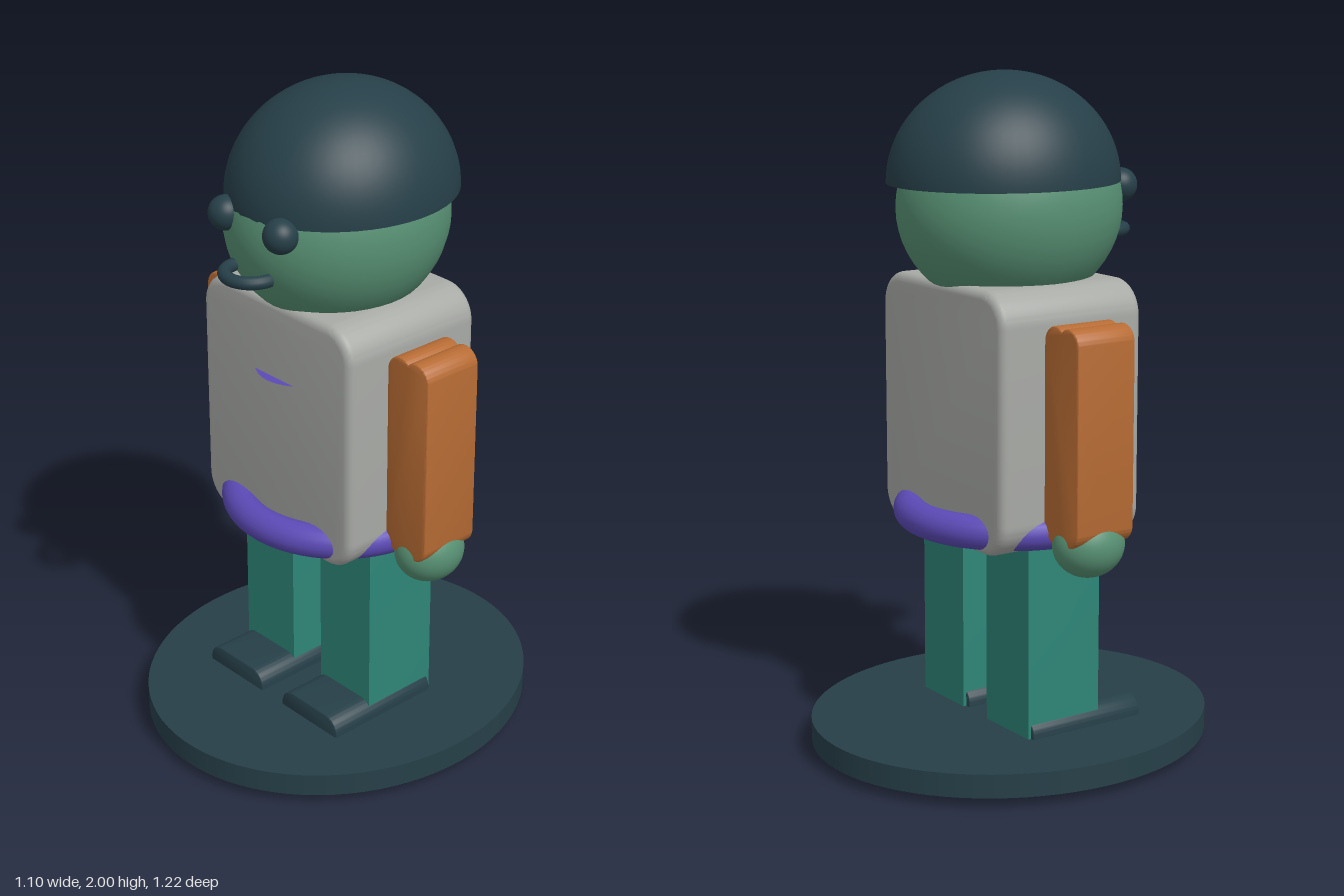
import * as THREE from 'three';
import { toCreasedNormals } from 'three/addons/utils/BufferGeometryUtils.js';

const mat = (name, color) => {
  const m = new THREE.MeshStandardMaterial({ color });
  m.name = name;
  return m;
};

// Rounded block outline; dip cuts a shallow groove along the middle of both ends
function blockShape(w, h, r, dip = 0) {
  const x = w / 2, y = h / 2, s = new THREE.Shape();
  s.moveTo(x, -y + r);
  s.lineTo(x, y - r);
  s.absarc(x - r, y - r, r, 0, Math.PI / 2, false);
  if (dip) s.quadraticCurveTo(0.012, y, 0, y - dip).quadraticCurveTo(-0.012, y, -x + r, y);
  s.absarc(-x + r, y - r, r, Math.PI / 2, Math.PI, false);
  s.lineTo(-x, -y + r);
  s.absarc(-x + r, -y + r, r, Math.PI, Math.PI * 1.5, false);
  if (dip) s.quadraticCurveTo(-0.012, -y, 0, -y + dip).quadraticCurveTo(0.012, -y, x - r, -y);
  s.absarc(x - r, -y + r, r, Math.PI * 1.5, Math.PI * 2, false);
  return s;
}

// Block of full size w, h, d, extruded front to back and centred on the origin
function block(w, h, d, r, bevel, dip) {
  const g = new THREE.ExtrudeGeometry(blockShape(w - 2 * bevel, h - 2 * bevel, r - bevel, dip), {
    depth: d - 2 * bevel, bevelEnabled: bevel > 0, bevelSize: bevel,
    bevelThickness: bevel, bevelSegments: 4, curveSegments: 10,
  });
  g.translate(0, 0, -d / 2 + bevel);
  return toCreasedNormals(g, 0.6);
}

export function createModel() {
  const model = new THREE.Group();
  const slate = mat('slate', 0x263f48);
  const green = mat('skinGreen', 0x579073);
  const grey = mat('shirtGrey', 0xa8aaa6);
  const orange = mat('sleeveOrange', 0xb86c34);
  const teal = mat('trouserTeal', 0x2e8577);
  const purple = mat('beltPurple', 0x5c4ab6);
  purple.side = THREE.DoubleSide;

  const add = (name, geometry, material, x, y, z) => {
    const mesh = new THREE.Mesh(geometry, material);
    mesh.name = name;
    mesh.position.set(x, y, z);
    model.add(mesh);
    return mesh;
  };
  const ball = (rx, ry, rz) => new THREE.SphereGeometry(1, 40, 28).scale(rx, ry, rz);

  // Oval stand
  add('base', new THREE.CylinderGeometry(1, 1, 0.07, 80).scale(0.55, 1, 0.61), slate, 0, 0.068, 0);

  // Body and belt
  add('torso', block(0.63, 0.757, 0.483, 0.1, 0.025), grey, 0, 1.036, 0);
  add('belt', new THREE.TorusGeometry(0.292, 0.049, 20, 64).rotateX(Math.PI / 2).scale(1.03, 1, 1),
    purple, 0, 0.718, 0);

  // Flat crescent standing out from the chest
  const crescent = new THREE.Shape();
  crescent.moveTo(-0.085, 0);
  crescent.quadraticCurveTo(0, 0.06, 0.085, 0);
  crescent.closePath();
  add('chestTrim', new THREE.ShapeGeometry(crescent).rotateX(Math.PI / 2), purple, 0, 1.18, 0.24);

  // Head and cap
  add('head', ball(0.303, 0.305, 0.337), green, 0, 1.615, 0);
  const dome = new THREE.SphereGeometry(1, 56, 24, 0, Math.PI * 2, 0, Math.PI / 2);
  add('cap', dome.scale(0.313, 0.315, 0.347), slate, 0, 1.685, -0.02);
  add('capUnderside', new THREE.CircleGeometry(1, 56).rotateX(Math.PI / 2).scale(0.313, 1, 0.347),
    slate, 0, 1.685, -0.02);

  // Mouth: a half ring lying flat
  add('mouth', new THREE.TorusGeometry(0.075, 0.019, 14, 32, Math.PI).rotateX(Math.PI / 2),
    slate, 0, 1.525, 0.318);

  // Paired parts
  for (const [side, s] of [['left', 1], ['right', -1]]) {
    add(side + 'Eye', ball(0.05, 0.05, 0.05), slate, s * 0.115, 1.665, 0.31);
    add(side + 'Arm', block(0.16, 0.62, 0.195, 0.05, 0.006, 0.014), orange, s * 0.392, 1.013, 0);
    add(side + 'Hand', ball(0.095, 0.095, 0.107), green, s * 0.393, 0.696, 0);
    add(side + 'Leg', block(0.215, 0.75, 0.25, 0.055, 0, 0.012), teal, s * 0.17, 0.378, 0);
    add(side + 'Shoe', block(0.245, 0.12, 0.385, 0.05, 0.006), slate, s * 0.168, 0.1, 0.077);
  }
  return model;
}
